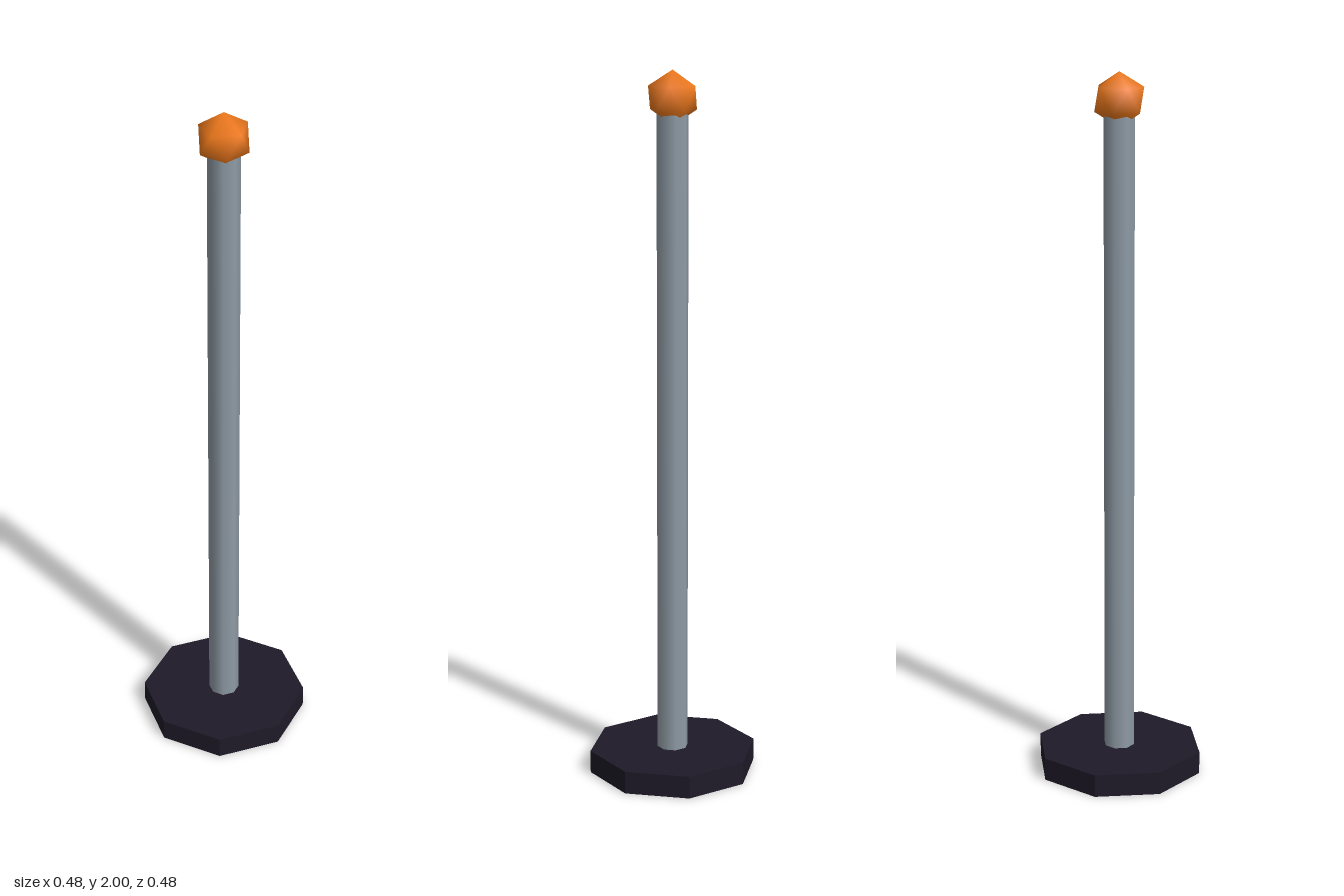
import * as THREE from 'three';
import { mergeVertices } from 'three/addons/utils/BufferGeometryUtils.js';
import { ConvexGeometry } from 'three/addons/geometries/ConvexGeometry.js';

function part(name, geometry, color, y, flatShading = false) {
  const mesh = new THREE.Mesh(geometry, new THREE.MeshStandardMaterial({ color, flatShading }));
  mesh.name = name;
  mesh.position.y = y;
  return mesh;
}

// Twenty-sided ball standing on a corner: two poles and two staggered rings of five
function ballGeometry(radius) {
  const points = [new THREE.Vector3(0, radius, 0), new THREE.Vector3(0, -radius, 0)];
  const ring = radius * 2 / Math.sqrt(5);
  for (let i = 0; i < 10; i++) {
    const a = i * Math.PI / 5;
    const y = (i % 2 ? -1 : 1) * radius / Math.sqrt(5);
    points.push(new THREE.Vector3(ring * Math.cos(a), y, ring * Math.sin(a)));
  }
  // Shared corners give smooth normals
  const hull = new ConvexGeometry(points);
  hull.deleteAttribute('normal');
  const geometry = mergeVertices(hull);
  geometry.computeVertexNormals();
  return geometry;
}

export function createModel() {
  const group = new THREE.Group();
  group.name = 'post';

  // Octagonal foot with corners on the axes
  const baseHeight = 0.065;
  group.add(part('base', new THREE.CylinderGeometry(0.24, 0.24, baseHeight, 8), 0x1e1a28, baseHeight / 2, true));

  // Slender pole, reaching up into the ball
  const poleTop = 1.91;
  const poleHeight = poleTop - baseHeight;
  group.add(part('pole', new THREE.CylinderGeometry(0.044, 0.044, poleHeight, 8), 0x8f9ba5, baseHeight + poleHeight / 2));

  // Finial ball
  group.add(part('ball', ballGeometry(0.075), 0xf07a1c, 1.925));

  return group;
}
